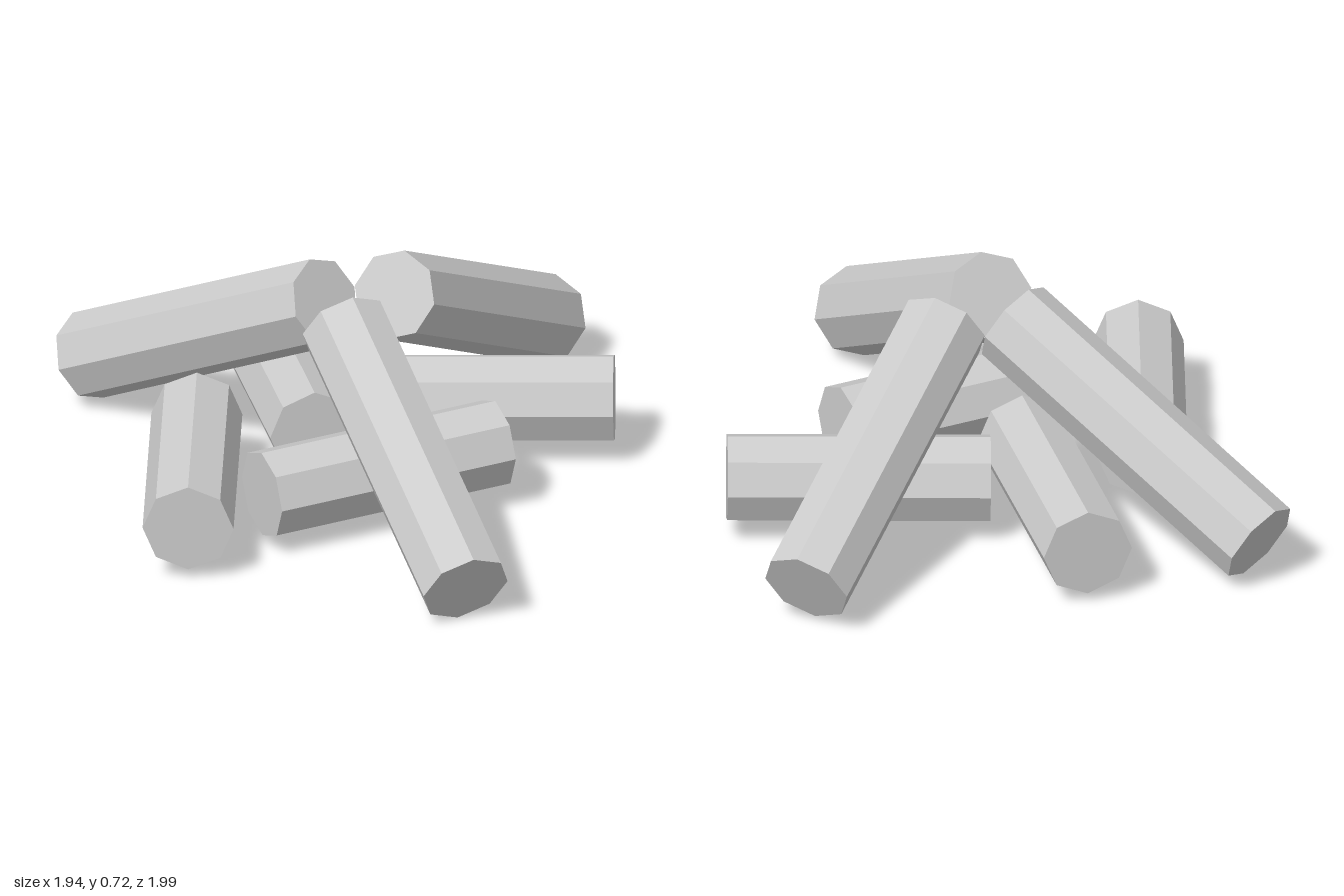
import * as THREE from 'three';

const RADIUS = 0.136;

export function createModel() {
  const group = new THREE.Group();
  group.name = 'logPile';
  const wood = new THREE.MeshStandardMaterial({ color: 0xcccccc, flatShading: true });
  wood.name = 'grey wood';

  // One eight-sided log between two points, with a ridge facing upwards
  function addLog(name, start, end) {
    const a = new THREE.Vector3(...start);
    const b = new THREE.Vector3(...end);
    const along = b.clone().sub(a);
    const length = along.length();
    along.normalize();
    const side = along.clone().cross(new THREE.Vector3(0, 1, 0)).normalize();
    const ridge = side.clone().cross(along);
    const log = new THREE.Mesh(new THREE.CylinderGeometry(RADIUS, RADIUS, length, 8), wood);
    log.name = name;
    log.quaternion.setFromRotationMatrix(new THREE.Matrix4().makeBasis(side, along, ridge));
    log.position.copy(a).add(b).multiplyScalar(0.5);
    group.add(log);
  }

  // Short logs lying on the ground
  addLog('groundLogFront', [-0.377, 0.178, 0.239], [-0.005, 0.167, 0.928]);
  addLog('groundLogBackLeft', [-0.04, 0.173, -0.098], [0.65, 0.184, -0.475]);
  addLog('groundLogBackRight', [0.0, 0.178, 0.186], [-0.523, 0.165, -0.393]);
  addLog('groundLogLeft', [0.07, 0.172, 0.618], [0.5, 0.183, -0.03]);

  // Long logs leaning together at the top
  addLog('leaningLogRight', [-0.914, 0.132, -0.035], [0, 0.59, 0.125]);
  addLog('leaningLogBack', [0.143, 0.137, -0.937], [0.16, 0.595, -0.012]);
  addLog('leaningLogFront', [0.877, 0.123, 0.794], [0.135, 0.588, 0.24]);

  return group;
}
